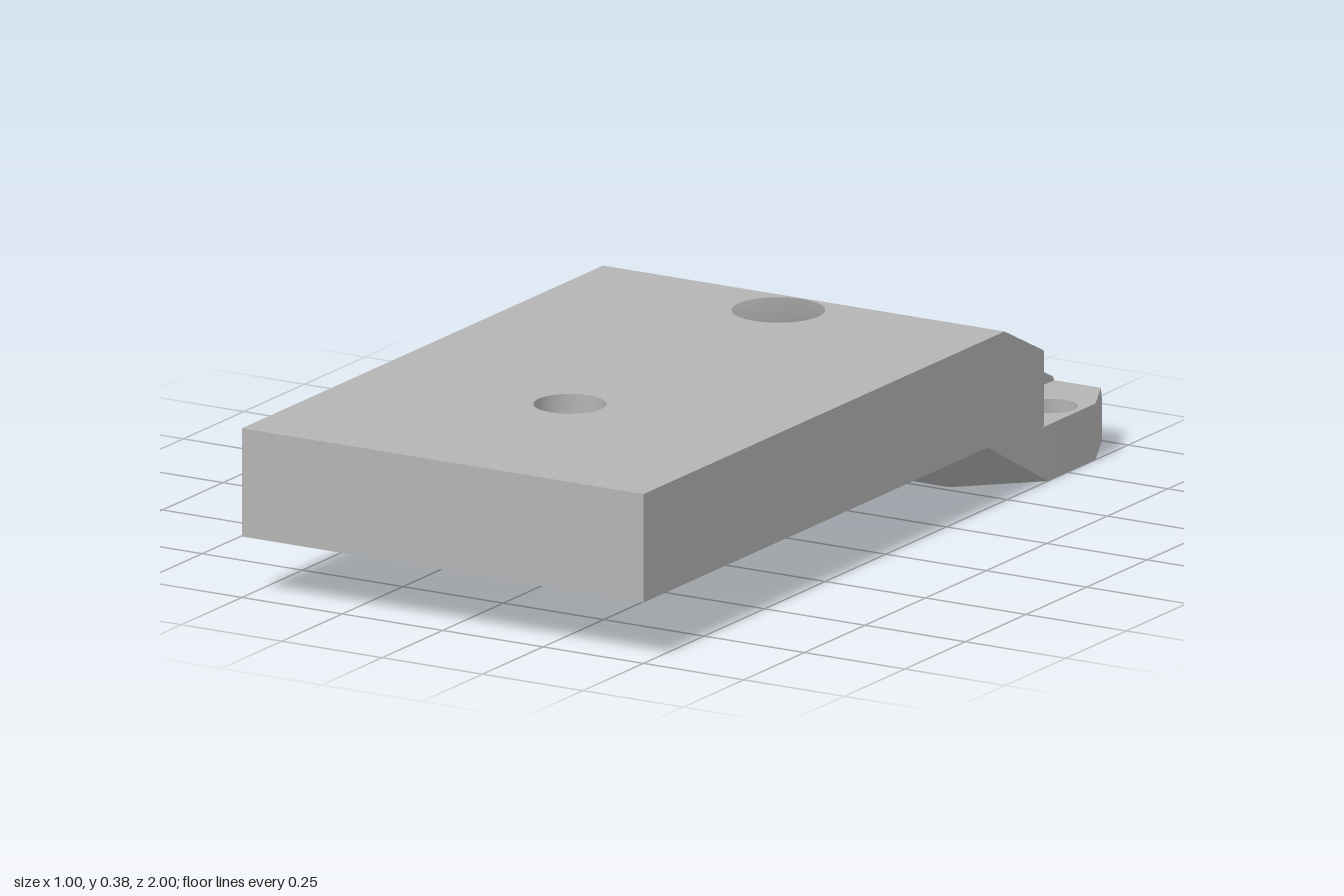
import * as THREE from 'three';
import { toCreasedNormals } from 'three/addons/utils/BufferGeometryUtils.js';

const PLATE_TOP = 0.375, PLATE_BOTTOM = 0.135, POCKET = 0.1245, SEGMENTS = 40;

// Height of the upper surface: flat plate, long slope, then the nose chamfer
function topY(z) {
  if (z > -0.49) return PLATE_TOP;
  if (z > -0.97) return PLATE_TOP + (z + 0.49) * 0.5;
  return 0.135 + (z + 0.97) * 1.5;
}
// Height of the lower edge along the long sides
const sideBottomY = (z) => Math.min(PLATE_BOTTOM, Math.max(0, PLATE_BOTTOM + (z + 0.42) * 0.54));

function arc(cx, cz, r, a0, a1, n = 10) {
  return Array.from({ length: n + 1 }, (_, i) => {
    const a = a0 + ((a1 - a0) * i) / n;
    return [cx + r * Math.cos(a), cz + r * Math.sin(a)];
  });
}
const circle = (cx, cz, r) => arc(cx, cz, r, 0, Math.PI * 2, SEGMENTS).slice(0, -1);
const mirror = (pts) => pts.map(([x, z]) => [-x, z]).reverse();
const sided = (pts, s) => (s > 0 ? pts : mirror(pts));

export function createModel() {
  const model = new THREE.Group();
  model.name = 'toolHolderPlate';
  const steel = new THREE.MeshStandardMaterial({ color: 0xb4b4b4, side: THREE.DoubleSide });
  steel.name = 'steel grey';

  function add(name, geometry) {
    const mesh = new THREE.Mesh(geometry, steel);
    mesh.name = name;
    model.add(mesh);
    return mesh;
  }
  // Face drawn in plan and lifted to a height rule
  function sheet(name, outline, height, holes = [], down = false) {
    const vec = ([x, z]) => new THREE.Vector2(x, -z);
    const shape = new THREE.Shape(outline.map(vec));
    shape.holes = holes.map((h) => new THREE.Path(h.map(vec)));
    const geo = new THREE.ShapeGeometry(shape);
    const p = geo.attributes.position;
    for (let i = 0; i < p.count; i++) {
      const x = p.getX(i), z = -p.getY(i);
      p.setXYZ(i, x, height(z, x), z);
    }
    if (down) geo.setIndex(Array.from(geo.index.array).reverse());
    geo.computeVertexNormals();
    add(name, geo);
  }
  // Grid of quads between successive rows of points, listed top to bottom
  function skin(name, rows) {
    const pos = [];
    for (let r = 0; r + 1 < rows.length; r++) {
      for (let i = 0; i + 1 < rows[r].length; i++) {
        const [a, b, c, d] = [rows[r + 1][i], rows[r + 1][i + 1], rows[r][i + 1], rows[r][i]];
        pos.push(...a, ...b, ...c, ...a, ...c, ...d);
      }
    }
    const geo = new THREE.BufferGeometry();
    geo.setAttribute('position', new THREE.Float32BufferAttribute(pos, 3));
    geo.computeVertexNormals();
    add(name, toCreasedNormals(geo, 0.5));
  }
  const wall = (name, pts, low, high) =>
    skin(name, [pts.map(([x, z]) => [x, high(z), z]), pts.map(([x, z]) => [x, low(z), z])]);
  // Bore from stacked rings [radius, height or height rule, centre z]
  function bore(name, cx, cz, levels) {
    skin(name, levels.map(([r, y, z = cz]) => arc(cx, z, r, 0, Math.PI * 2, SEGMENTS)
      .map(([px, pz]) => [px, typeof y === 'function' ? y(pz) : y, pz])));
  }

  const zero = () => 0, floorY = () => POCKET;
  const plateTop = () => PLATE_TOP, plateBottom = () => PLATE_BOTTOM;

  // Plan outlines of the nose, right half
  const pocketEdge = [
    ...arc(0.45, -0.64, 0.05, 0, -Math.PI / 2),
    ...arc(0.41, -0.77, 0.08, Math.PI / 2, Math.PI),
    [0.33, -0.97],
  ];
  const notchCurve = [[0.14, -0.97], ...arc(0.1, -0.88, 0.04, 0, Math.PI / 2)];
  const notchSide = [[0.14, -1], ...notchCurve];
  const cornerEdge = [[0.5, -0.865], [0.446, -0.977], [0.435, -1]];

  // Hole positions
  const clampHole = [0, 0.475], screwZ = -0.622, pinHole = [0.43, -0.8];
  const both = (x, z, r) => [circle(x, z, r), circle(-x, z, r)];

  // Upper faces
  sheet('plateTop', [[-0.5, 1], [0.5, 1], [0.5, -0.49], [-0.5, -0.49]], plateTop,
    [circle(...clampHole, 0.078), circle(0, -0.385, 0.1)]);
  const slopeHalf = [[0.5, -0.49], ...pocketEdge, ...notchCurve];
  sheet('noseSlope', [...slopeHalf, ...mirror(slopeHalf)], topY, both(0.2, screwZ, 0.13));

  // Lower faces
  sheet('plateBottom', [[-0.5, 1], [0.5, 1], [0.5, -0.42], [0.42, -0.34], [-0.42, -0.34], [-0.5, -0.42]],
    plateBottom, [circle(...clampHole, 0.16)], true);
  sheet('footSlope', [[0.42, -0.34], [0.345, -0.52], [-0.345, -0.52], [-0.42, -0.34]],
    (z) => PLATE_BOTTOM * (z + 0.52) / 0.18, [], true);
  const footHalf = [[0.345, -0.52], [0.5, -0.67], ...cornerEdge, ...notchSide];
  sheet('footBottom', [...footHalf, ...mirror(footHalf)], zero,
    [...both(0.2, screwZ, 0.05), ...both(...pinHole, 0.056)], true);

  // Front end
  wall('frontEnd', [[-0.5, 1], [0.5, 1]], plateBottom, plateTop);

  for (const s of [1, -1]) {
    const side = s > 0 ? 'left' : 'right';
    // Outer sides and back
    wall(side + 'Side', sided([[0.5, 1], [0.5, -0.42], [0.5, -0.49], [0.5, -0.64]], s), sideBottomY, topY);
    wall(side + 'NoseRim', sided([[0.5, -0.64], [0.5, -0.67], ...cornerEdge, [0.14, -1]], s),
      sideBottomY, (z) => Math.min(POCKET, topY(z)));
    wall(side + 'NotchSide', sided(notchSide, s), zero, topY);
    // Sunken corner pocket
    const pocketWall = [...pocketEdge, [0.33, -0.977]];
    wall(side + 'PocketWall', sided(pocketWall, s), floorY, topY);
    sheet(side + 'PocketFloor', sided([...pocketWall, [0.446, -0.977], [0.5, -0.865]], s), floorY,
      [circle(s * pinHole[0], pinHole[1], 0.056)]);
    bore(side + 'PinHole', s * pinHole[0], pinHole[1], [[0.056, POCKET], [0.056, 0]]);
    // Chamfered nose edge
    sheet(side + 'NoseChamfer', sided([[0.14, -0.97], [0.33, -0.97], [0.33, -0.977],
      [0.446, -0.977], [0.435, -1], [0.14, -1]], s), topY);
    // Slanted corner under the foot
    sheet(side + 'FootCorner', sided([[0.42, -0.34], [0.5, -0.42], [0.5, -0.67], [0.345, -0.52]], s),
      (z, x) => (Math.abs(x) < 0.4 || z < -0.6 ? 0 : PLATE_BOTTOM), [], true);
    // Stepped screw hole
    bore(side + 'ScrewHole', s * 0.2, screwZ,
      [[0.13, topY], [0.107, (z) => topY(z) - 0.05], [0.107, 0.11], [0.05, 0.11], [0.05, 0]]);
  }

  // Clamp hole, widened below
  bore('clampHole', ...clampHole,
    [[0.078, PLATE_TOP], [0.078, 0.315], [0.145, 0.315], [0.145, 0.15], [0.16, PLATE_BOTTOM]]);

  // Slanted channel mouth
  bore('channelMouth', 0, -0.385,
    [[0.1, PLATE_TOP], [0.067, 0.305, -0.435], [0.067, 0.25, -0.47], [0, 0.22, -0.5]]);

  // Notch end with the channel outlet
  const outletY = 0.13, outletR = 0.03, notchTop = topY(-0.84);
  const end = new THREE.Shape([[-0.1, 0], [0.1, 0], [0.1, notchTop], [-0.1, notchTop]]
    .map((p) => new THREE.Vector2(...p)));
  end.holes.push(new THREE.Path().absarc(0, outletY, outletR, 0, Math.PI * 2));
  const endMesh = add('notchEnd', new THREE.ShapeGeometry(end, 16).rotateY(Math.PI));
  endMesh.position.z = -0.84;
  const ring = (z, y, r) => arc(0, y, r, 0, Math.PI * 2, 24).map(([px, py]) => [px, py, z]);
  skin('channelOutlet', [ring(-0.84, outletY, outletR), ring(-0.62, 0.2, outletR), ring(-0.62, 0.2, 0)]);

  return model;
}
